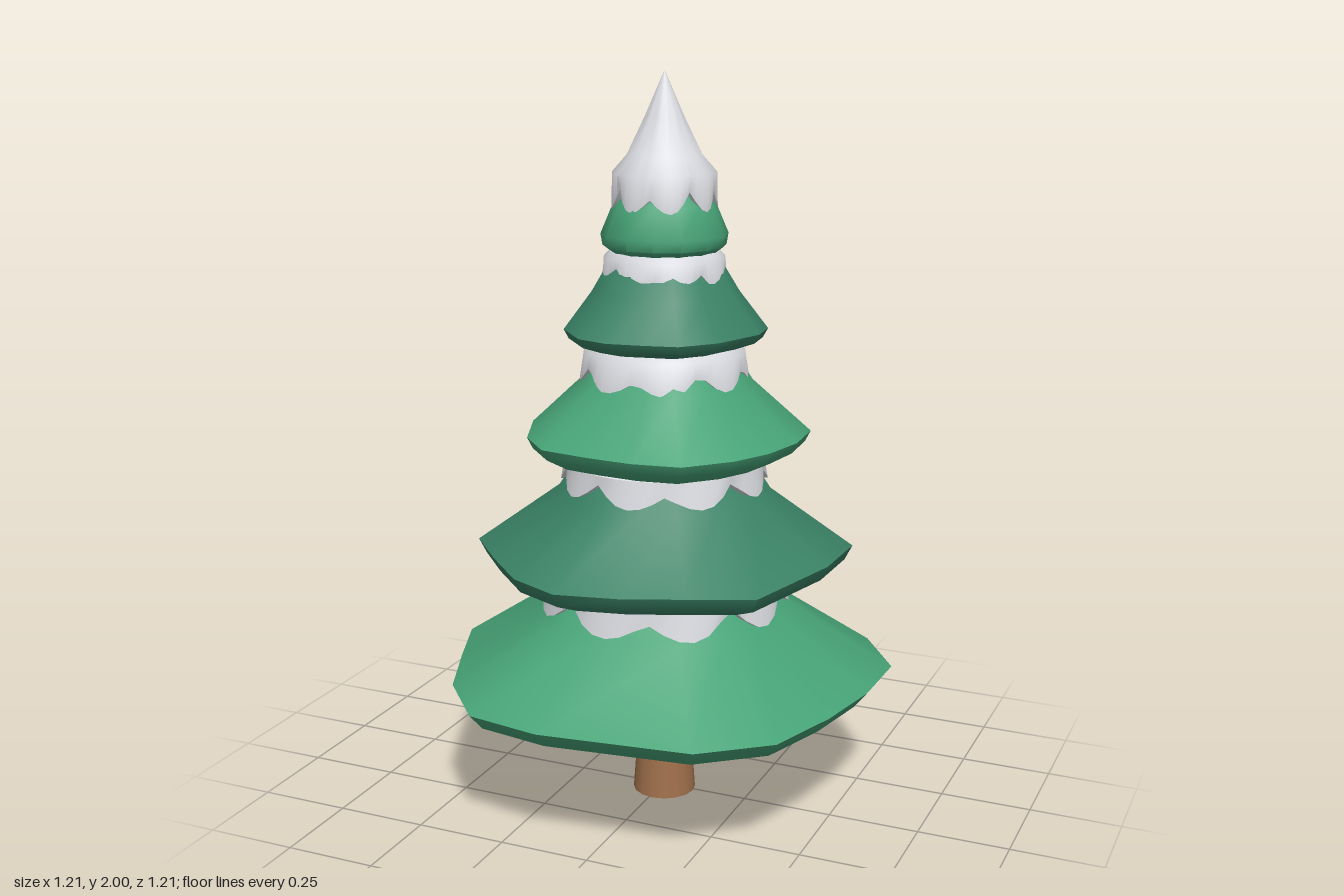
import * as THREE from 'three';
import { toCreasedNormals } from 'three/addons/utils/BufferGeometryUtils.js';

const C = 0.01; // tree axis in x and z
const mat = (name, color, side = THREE.FrontSide) => {
  const m = new THREE.MeshStandardMaterial({ color, side });
  m.name = name;
  return m;
};

// Skin a list of equal-length rings, ordered from the bottom upwards.
function loft(rings, crease) {
  const n = rings[0].length, pos = [], idx = [];
  rings.forEach(r => r.forEach(p => pos.push(...p)));
  for (let i = 0; i < rings.length - 1; i++) {
    for (let j = 0; j < n; j++) {
      const k = (j + 1) % n;
      const a = i * n + j, b = i * n + k, c = a + n, d = b + n;
      if (i > 0 || rings[0][0][0] !== rings[0][1][0]) idx.push(a, c, b);
      if (i < rings.length - 2 || rings.at(-1)[0][0] !== rings.at(-1)[1][0]) idx.push(b, c, d);
      else if (i === 0) idx.push(b, c, d);
      if (i === 0 && rings[0][0][0] === rings[0][1][0] && rings.length === 2) idx.push(a, c, b);
    }
  }
  const g = new THREE.BufferGeometry();
  g.setAttribute('position', new THREE.Float32BufferAttribute(pos, 3));
  g.setIndex(idx);
  return toCreasedNormals(g, crease);
}

// Irregular rim outlines (x, z), widest tier first.
const outlines = [
  [[-.10, -.61], [.11, -.585], [.48, -.38], [.605, -.2], [.60, .01], [.56, .21], [.49, .415], [.32, .55],
    [-.09, .60], [-.30, .565], [-.445, .40], [-.53, .2], [-.605, .01], [-.575, -.2], [-.43, -.37], [-.28, -.5]],
  [[.10, -.49], [.245, -.40], [.375, -.29], [.495, -.16], [.49, .04], [.41, .35], [.25, .42], [.09, .485],
    [-.075, .52], [-.22, .455], [-.355, .32], [-.47, .19], [-.46, -.015], [-.435, -.145], [-.38, -.32], [-.235, -.395], [-.075, -.455]],
  [[.08, -.37], [.18, -.335], [.27, -.235], [.38, -.125], [.39, .015], [.36, .145], [.305, .25], [.205, .355],
    [.075, .375], [-.06, .365], [-.19, .345], [-.285, .245], [-.355, .075], [-.355, -.07], [-.285, -.215], [-.165, -.29], [-.055, -.365]],
  [[.06, -.255], [.145, -.22], [.22, -.13], [.27, -.08], [.28, .015], [.225, .16], [.15, .245], [.06, .265],
    [-.035, .28], [-.125, .255], [-.22, .15], [-.26, .015], [-.21, -.11], [-.2, -.155], [-.12, -.225], [-.02, -.235]],
  Array.from({ length: 14 }, (_, i) => {
    const a = i / 14 * Math.PI * 2;
    return [C + .168 * Math.cos(a), C + .17 * Math.sin(a)];
  }),
];

// Tier profiles: [scale of the outline, height].
const profiles = [
  [[0, .295], [.72, .295], [.94, .335], [1, .38], [.56, .56], [.42, .66], [.3, .72]],
  [[0, .655], [.8, .655], [.96, .69], [1, .73], [.56, .89], [.42, 1.0], [.3, 1.05]],
  [[0, .985], [.8, .985], [.96, 1.02], [1, 1.05], [.6, 1.19], [.45, 1.28], [.3, 1.33]],
  [[0, 1.285], [.75, 1.285], [.95, 1.305], [1, 1.33], [.72, 1.43], [.5, 1.53], [.3, 1.57]],
  [[0, 1.535], [.85, 1.535], [.97, 1.55], [1, 1.58], [.8, 1.66], [.5, 1.72], [0, 1.75]],
];

function tierGeometry(outline, profile) {
  return loft(profile.map(([s, y]) =>
    outline.map(([x, z]) => [C + (x - C) * s, y, C + (z - C) * s])), 0.8);
}

// Snow skirt: scalloped lower edge (low..high), then [radius, height] rings above it.
function snowGeometry(radius, low, high, lobes, phase, upper) {
  const n = lobes * 6;
  const ring = fn => Array.from({ length: n }, (_, j) => {
    const a = j / n * Math.PI * 2;
    const lift = (1 - Math.abs(Math.sin(a * lobes / 2 + phase))) * (0.8 + 0.2 * Math.sin(a * 3 + phase));
    const [r, y] = fn(lift);
    return [C + r * Math.cos(a), y, C + r * Math.sin(a)];
  });
  const edge = k => ring(t => [radius * (k - 0.07 * t), low + (high - low) * t]);
  return loft([edge(0.88), edge(1), ...upper.map(p => ring(() => p))], 0.9);
}

const snowSkirts = [
  [.345, .562, .64, 9, .4, [[.33, .645], [.27, .675], [.2, .7]]],
  [.285, .9, .96, 9, 1.1, [[.27, .975], [.22, 1.0], [.15, 1.02]]],
  [.228, 1.187, 1.245, 8, .2, [[.215, 1.27], [.18, 1.3], [.12, 1.32]]],
  [.168, 1.445, 1.5, 8, .9, [[.16, 1.52], [.13, 1.55], [.08, 1.56]]],
  [.14, 1.645, 1.705, 8, .5, [[.137, 1.74], [.098, 1.785], [.05, 1.885], [0, 2]]],
];

export function createModel() {
  const tree = new THREE.Group();
  tree.name = 'snowyTree';
  const lightGreen = mat('lightGreen', 0x47a377);
  const darkGreen = mat('darkGreen', 0x3a8266);
  const snow = mat('snow', 0xdcdde2, THREE.DoubleSide);
  const bark = mat('bark', 0xa0704c);
  const add = (name, geometry, material) => {
    const m = new THREE.Mesh(geometry, material);
    m.name = name;
    tree.add(m);
    return m;
  };

  // Tapered trunk
  add('trunk', new THREE.CylinderGeometry(.065, .087, .31, 16), bark).position.set(C, .155, C);

  // Branch tiers in alternating greens, each topped by snow
  outlines.forEach((outline, i) => {
    add(`branchTier${i + 1}`, tierGeometry(outline, profiles[i]), i % 2 ? darkGreen : lightGreen);
    add(i < 4 ? `snowSkirt${i + 1}` : 'snowCap', snowGeometry(...snowSkirts[i]), snow);
  });
  return tree;
}
